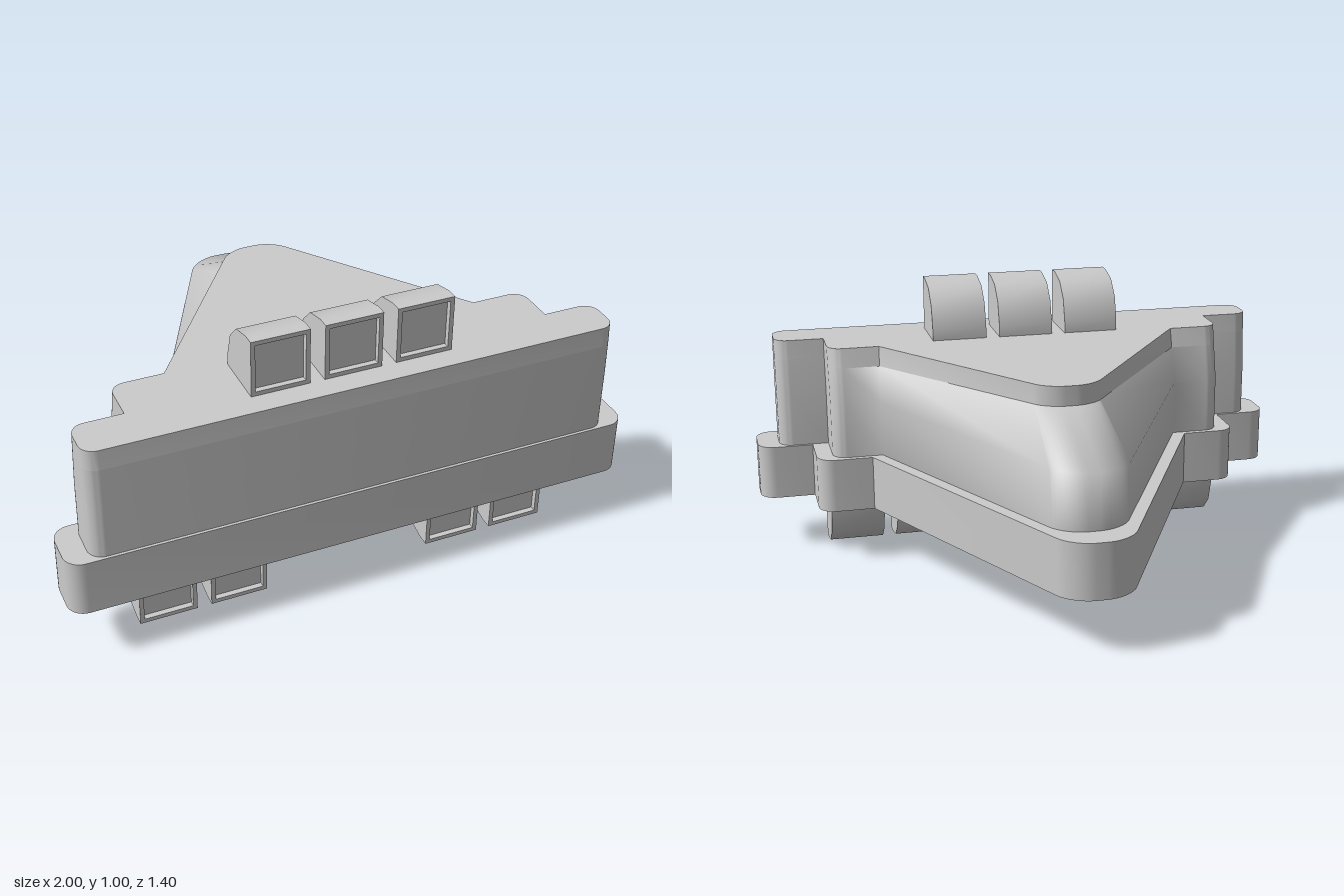
import * as THREE from 'three';
import { toCreasedNormals } from 'three/addons/utils/BufferGeometryUtils.js';

const material = new THREE.MeshStandardMaterial({ color: 0xcccccc });

// Full plan outline [x, z] from the right-hand corners [x, z, rounding], back to front.
function outline(corners) {
  const half = [];
  const at = (i) => {
    if (i < 0) return new THREE.Vector2(0, corners[0][1]);
    if (i >= corners.length) return new THREE.Vector2(0, corners[corners.length - 1][1]);
    return new THREE.Vector2(corners[i][0], corners[i][1]);
  };
  corners.forEach(([, , r], i) => {
    const p = at(i);
    if (!r) return half.push(p);
    const toward = (q, d) => p.clone().add(q.sub(p).setLength(d));
    const curve = new THREE.CubicBezierCurve(
      toward(at(i - 1), r), toward(at(i - 1), r * 0.45),
      toward(at(i + 1), r * 0.45), toward(at(i + 1), r));
    half.push(...curve.getPoints(8));
  });
  const mirrored = half.map((p) => new THREE.Vector2(-p.x, p.y)).reverse();
  return [...half, ...mirrored];
}

// Shape lying in plan once rotated by -90 degrees about x.
const planShape = (pts) => new THREE.Shape(pts.map((p) => new THREE.Vector2(p.x, -p.y)));

// Wall through matching outlines stacked at the given heights.
function loft(rows, crease) {
  const pos = [], index = [], n = rows[0].pts.length;
  rows.forEach(({ y, pts }) => pts.forEach((p) => pos.push(p.x, y, p.y)));
  for (let r = 0; r < rows.length - 1; r++) {
    for (let i = 0; i < n; i++) {
      const a = r * n + i, b = r * n + (i + 1) % n;
      index.push(a, a + n, b + n, a, b + n, b);
    }
  }
  const geo = new THREE.BufferGeometry();
  geo.setAttribute('position', new THREE.Float32BufferAttribute(pos, 3));
  geo.setIndex(index);
  return toCreasedNormals(geo, crease);
}

function add(parent, name, geometry) {
  const mesh = new THREE.Mesh(geometry, material);
  mesh.name = name;
  parent.add(mesh);
  return mesh;
}

// Block with a rounded back and a framed, recessed front; dir is +1 up or -1 down.
function roundedBlock(name, x, y, dir) {
  const block = new THREE.Group();
  block.name = name;
  const w = 0.2, recess = 0.02, front = 0.6 - recess;
  const profile = [[front, 0], [front, 0.2], [0.56, 0.2], [0.48, 0.18],
    [0.425, 0.125], [0.4, 0.04], [0.4, 0]];
  const side = new THREE.Shape(profile.map(([z, h]) => new THREE.Vector2(-z, h * dir)));
  const body = new THREE.ExtrudeGeometry(side, { depth: w, bevelEnabled: false });
  body.translate(0, 0, -w / 2).rotateY(Math.PI / 2);
  add(block, 'blockBody', toCreasedNormals(body, 0.7));

  const square = (h) => [[-h, -h], [h, -h], [h, h], [-h, h]].map(([u, v]) => new THREE.Vector2(u, v));
  const ring = new THREE.Shape(square(w / 2));
  ring.holes.push(new THREE.Path(square(w / 2 - 0.015).reverse()));
  const frame = new THREE.ExtrudeGeometry(ring, { depth: recess, bevelEnabled: false });
  add(block, 'blockFrame', frame.translate(0, 0.1 * dir, front));
  block.position.set(x, y, 0);
  return block;
}

export function createModel() {
  const model = new THREE.Group();
  model.name = 'wedgeHull';

  // Base slab
  const base = outline([[0.1, -0.7, 0.08], [0.6, 0.3, 0], [0.8, 0.3, 0.06],
    [0.8, 0.5, 0], [1, 0.5, 0.06], [1, 0.7, 0.06]]);
  const slab = new THREE.ExtrudeGeometry(planShape(base), { depth: 0.2, bevelEnabled: false });
  slab.rotateX(-Math.PI / 2).translate(0, 0.2, 0);
  add(model, 'baseSlab', toCreasedNormals(slab, 0.6));

  // Upper hull: straight wall, sloping nose and sides, then an upright rim
  const lower = outline([[0.1, -0.6, 0.08], [0.56, 0.32, 0], [0.74, 0.32, 0.05],
    [0.74, 0.51, 0], [0.92, 0.51, 0.05], [0.92, 0.69, 0.05]]);
  const middle = outline([[0.08, -0.285, 0.06], [0.557, 0.353, 0], [0.74, 0.353, 0.05],
    [0.74, 0.523, 0], [0.92, 0.523, 0.05], [0.92, 0.687, 0.05]]);
  const upper = outline([[0.08, -0.285, 0.06], [0.555, 0.37, 0], [0.74, 0.37, 0.05],
    [0.74, 0.53, 0], [0.92, 0.53, 0.05], [0.92, 0.683, 0.05]]);
  add(model, 'hullWall', loft([{ y: 0.4, pts: lower }, { y: 0.6, pts: lower }, { y: 0.73, pts: middle }], 1.22));
  add(model, 'deckRim', loft([{ y: 0.73, pts: middle }, { y: 0.8, pts: upper }], 0.6));
  const deck = new THREE.ShapeGeometry(planShape(upper));
  add(model, 'deck', deck.rotateX(-Math.PI / 2).translate(0, 0.8, 0));

  // Three blocks on the deck, two pairs under the base
  for (const x of [-0.25, 0, 0.25]) model.add(roundedBlock('upperBlock', x, 0.8, 1));
  for (const x of [-0.65, -0.4, 0.4, 0.65]) model.add(roundedBlock('lowerBlock', x, 0.2, -1));

  return model;
}
